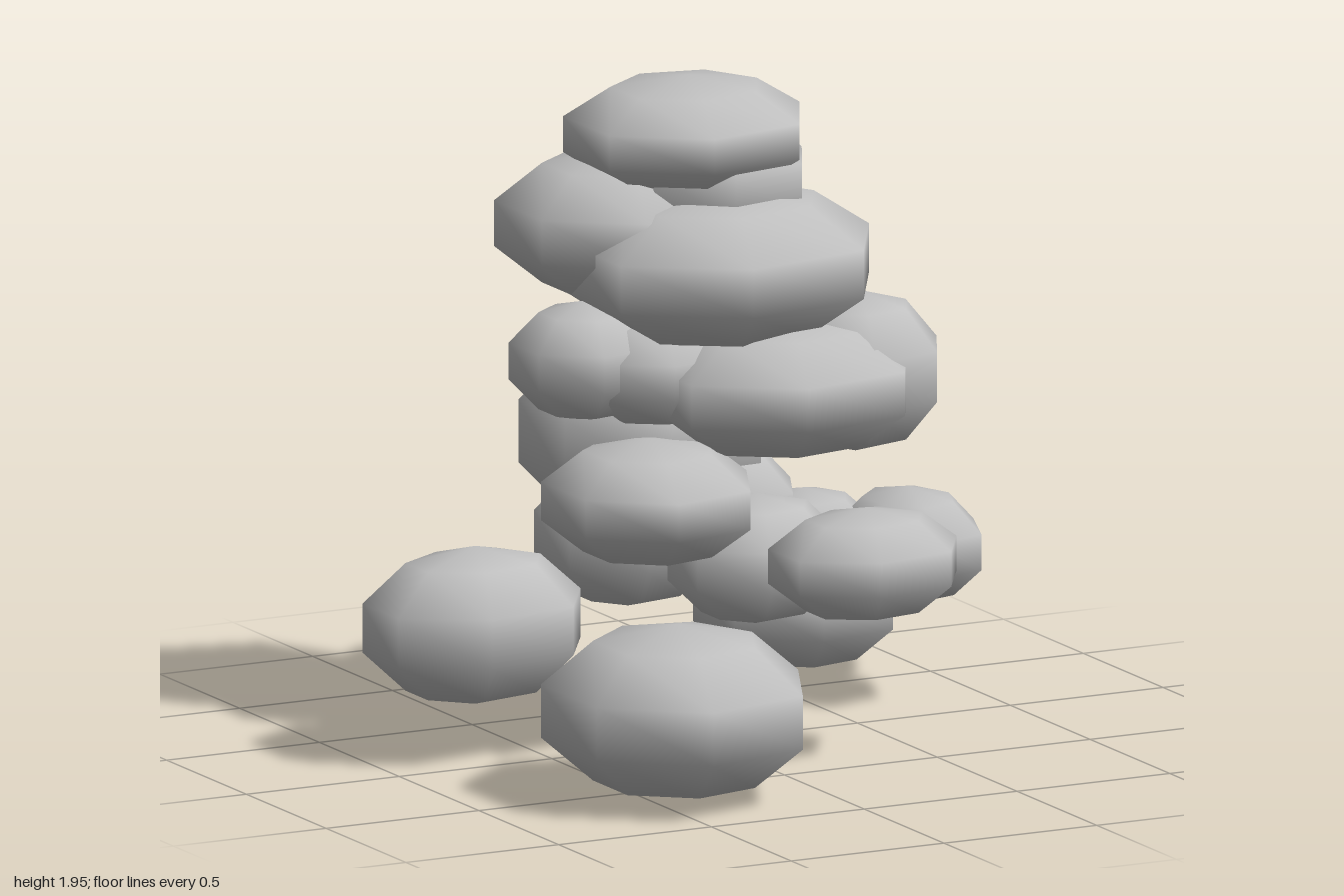
import * as THREE from 'three';

// Each stone: name, centre x y z, radii x y z
const STONES = [
  // scattered on the ground
  ['frontGroundStone', -0.405, 0.257, 0.605, 0.415, 0.257, 0.424],
  ['rightGroundStone', -0.67, 0.385, -0.155, 0.362, 0.235, 0.275],
  ['backGroundStone', 0.672, 0.207, -0.705, 0.319, 0.2, 0.318],
  ['leftSmallStone', 0.765, 0.47, -0.185, 0.221, 0.17, 0.275],
  ['leftRearStone', 0.52, 0.48, -0.37, 0.225, 0.145, 0.215],
  ['frontSmallStone', 0.268, 0.6, 0.497, 0.312, 0.168, 0.243],
  // base of the pile
  ['baseFrontStone', 0.115, 0.553, 0.10, 0.28, 0.194, 0.23],
  ['baseMiddleStone', 0.11, 0.66, -0.14, 0.255, 0.195, 0.26],
  ['baseBackStone', -0.11, 0.58, -0.27, 0.292, 0.22, 0.27],
  ['baseRightStone', -0.21, 0.75, 0.06, 0.331, 0.186, 0.34],
  // middle of the pile
  ['middleBackStone', -0.05, 0.88, -0.27, 0.4, 0.3, 0.355],
  ['middleRearLeftStone', 0.25, 1.005, -0.492, 0.298, 0.273, 0.31],
  ['middleFrontStone', 0.21, 1.055, 0.075, 0.436, 0.21, 0.38],
  ['middleLeftStone', 0.452, 1.073, 0.08, 0.278, 0.24, 0.263],
  ['middleRightStone', -0.315, 1.138, -0.14, 0.238, 0.178, 0.23],
  ['middleInnerStone', -0.12, 1.11, -0.06, 0.265, 0.17, 0.23],
  // top of the pile
  ['upperWideStone', 0.077, 1.405, -0.025, 0.498, 0.235, 0.415],
  ['upperBackStone', -0.143, 1.508, -0.26, 0.388, 0.22, 0.365],
  ['neckStone', 0.1, 1.63, -0.13, 0.3, 0.23, 0.28],
  ['capStone', 0.028, 1.775, -0.163, 0.386, 0.172, 0.355],
];

export function createModel() {
  const group = new THREE.Group();
  group.name = 'stonePile';
  const stone = new THREE.MeshStandardMaterial({ color: 0xc0c0c0 });
  stone.name = 'stone grey';

  // Seven-sided rounded pebble, one corner towards +x
  const pebble = new THREE.SphereGeometry(1, 7, 5).rotateY(Math.PI);

  for (const [name, x, y, z, rx, ry, rz] of STONES) {
    const mesh = new THREE.Mesh(pebble, stone);
    mesh.name = name;
    mesh.position.set(x, y, z);
    mesh.scale.set(rx, ry, rz);
    group.add(mesh);
  }
  return group;
}
